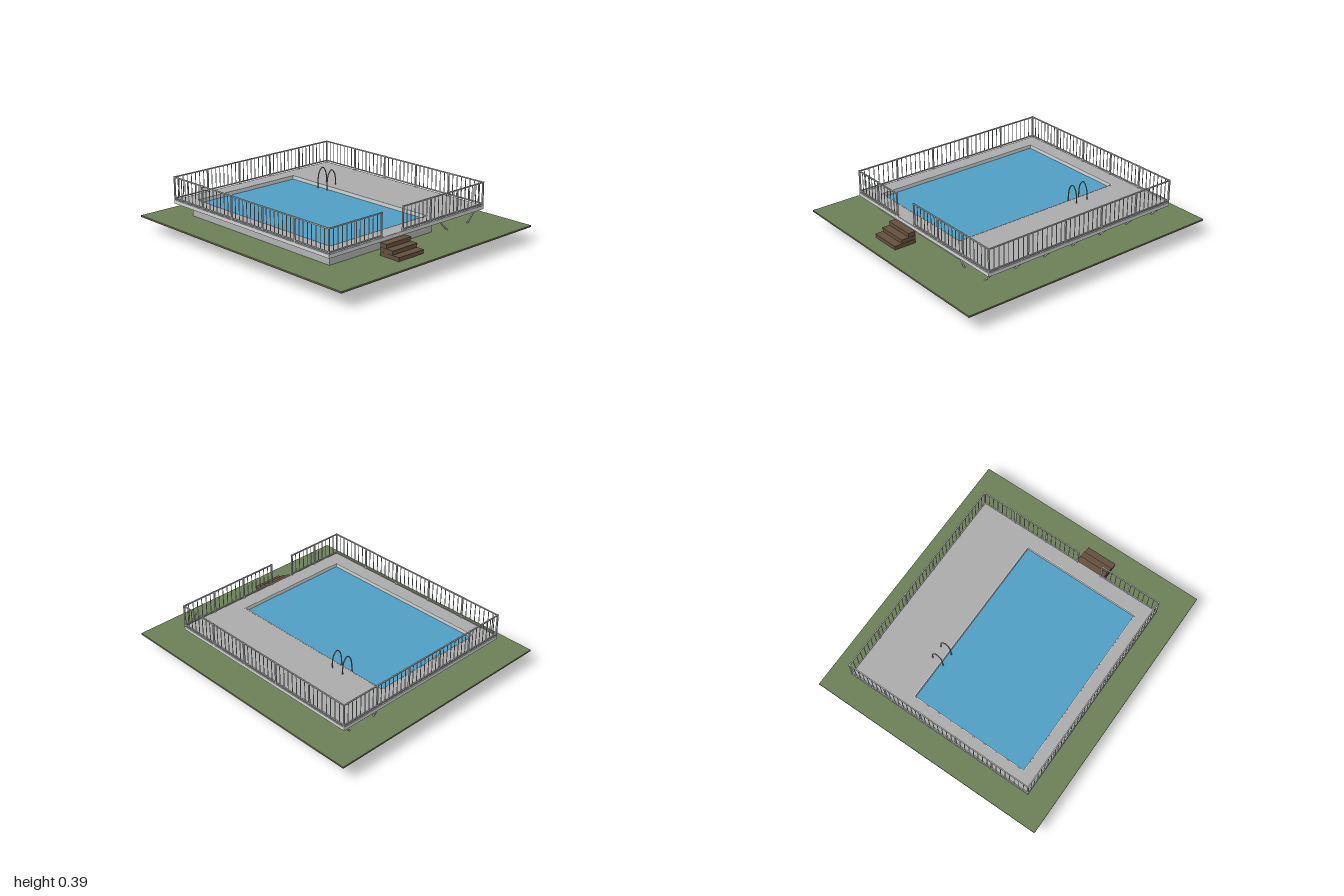
import * as THREE from 'three';

const mat = (name, color, side = THREE.FrontSide) => {
  const m = new THREE.MeshStandardMaterial({ color, side });
  m.name = name;
  return m;
};

export function createModel() {
  const turf = mat('turf', 0x6b7f56);
  const soil = mat('soil', 0x644f3d);
  const deckGrey = mat('deck grey', 0xaaabaa);
  const wallGrey = mat('wall grey', 0xb0b3b1);
  const trim = mat('light trim', 0xd2d4d4);
  const railGrey = mat('railing grey', 0xbfc1c1);
  const metal = mat('ladder metal', 0x86888a);
  const waterBlue = mat('water blue', 0x4e9ec3, THREE.DoubleSide);
  const floorBlue = mat('pool floor blue', 0x2d6ea4, THREE.DoubleSide);

  const root = new THREE.Group();
  root.name = 'raisedPool';
  const group = (name, parent = root) => {
    const g = new THREE.Group();
    g.name = name;
    parent.add(g);
    return g;
  };
  const add = (parent, name, geometry, material) => {
    const m = new THREE.Mesh(geometry, material);
    m.name = name;
    parent.add(m);
    return m;
  };
  // Box given by its limits
  const box = (parent, name, material, x0, x1, y0, y1, z0, z1) => {
    const m = add(parent, name, new THREE.BoxGeometry(x1 - x0, y1 - y0, z1 - z0), material);
    m.position.set((x0 + x1) / 2, (y0 + y1) / 2, (z0 + z1) / 2);
    return m;
  };
  // Horizontal slab with a rectangular opening; rectangles are [x0, x1, z0, z1]
  const trace = (path, [x0, x1, z0, z1]) =>
    path.moveTo(x0, z0).lineTo(x1, z0).lineTo(x1, z1).lineTo(x0, z1).lineTo(x0, z0);
  const frame = (parent, name, material, outer, inner, y0, y1) => {
    const shape = trace(new THREE.Shape(), outer);
    shape.holes.push(trace(new THREE.Path(), inner));
    const g = new THREE.ExtrudeGeometry(shape, { depth: y1 - y0, bevelEnabled: false });
    g.rotateX(Math.PI / 2).translate(0, y1, 0);
    return add(parent, name, g, material);
  };
  // Straight square bar between two points
  const bar = (parent, name, a, b, size, material) => {
    const p = new THREE.Vector3(...a), q = new THREE.Vector3(...b);
    const m = add(parent, name, new THREE.BoxGeometry(size, size, p.distanceTo(q)), material);
    m.position.copy(p).add(q).multiplyScalar(0.5);
    m.lookAt(q);
    return m;
  };
  const grow = ([x0, x1, z0, z1], d) => [x0 - d, x1 + d, z0 - d, z1 + d];

  const ground = [-0.89, 0.89, -1, 1];
  const deck = [-0.72, 0.72, -0.833, 0.718];
  const pool = [-0.613, 0.277, -0.722, 0.61];

  // Ground
  frame(root, 'groundSlab', soil, ground, pool, 0.1, 0.108);
  frame(root, 'lawn', turf, ground, pool, 0.108, 0.112);

  // Pool shell and water
  frame(root, 'poolWall', wallGrey, grow(pool, 0.022), pool, 0.11, 0.2);
  frame(root, 'poolLiner', trim, grow(pool, 0.002), grow(pool, -0.004), 0.11, 0.227);
  const sheet = (name, y, material) => {
    const g = new THREE.PlaneGeometry(pool[1] - pool[0], pool[3] - pool[2]).rotateX(-Math.PI / 2);
    add(root, name, g, material).position.set((pool[0] + pool[1]) / 2, y, (pool[2] + pool[3]) / 2);
  };
  sheet('water', 0.2, waterBlue);
  sheet('poolFloor', 0, floorBlue);

  // Deck with a lighter edge band
  frame(root, 'deck', deckGrey, deck, pool, 0.2, 0.226);
  frame(root, 'deckEdge', trim, grow(deck, 0.002), grow(deck, -0.001), 0.2, 0.224);

  // Braces under the deck
  const braces = group('braces');
  for (let i = 0; i < 5; i++) {
    const x = -0.6 + i * 0.216;
    bar(braces, 'frontBrace', [x, 0.2, 0.672], [x, 0.165, 0.632], 0.008, railGrey);
    bar(braces, 'backBrace', [x, 0.2, -0.785], [x, 0.165, -0.744], 0.008, railGrey);
  }
  for (let i = 0; i < 7; i++) {
    const z = 0.67 - i * 0.241;
    if (i > 0 && i < 6) bar(braces, 'sideBrace', [-0.68, 0.2, z], [-0.633, 0.165, z], 0.008, railGrey);
    bar(braces, 'outerStrut', [0.705, 0.2, z], [0.615, 0.112, z], 0.008, railGrey);
    bar(braces, 'innerStrut', [0.315, 0.2, z], [0.41, 0.112, z], 0.008, railGrey);
  }

  // Railings: posts, two rails and thin balusters per run
  const railings = group('railings');
  const railing = (name, a, b, spans, perSpan) => {
    const run = group(name, railings);
    const at = (t, y) => [a[0] + (b[0] - a[0]) * t, y, a[1] + (b[1] - a[1]) * t];
    const n = spans * perSpan;
    for (let i = 0; i <= n; i++) {
      if (i % perSpan === 0) {
        const [x, , z] = at(i / n, 0);
        box(run, 'post', railGrey, x - 0.005, x + 0.005, 0.215, 0.394, z - 0.005, z + 0.005);
      } else {
        const [x, , z] = at(i / n, 0);
        box(run, 'baluster', railGrey, x - 0.002, x + 0.002, 0.238, 0.388, z - 0.002, z + 0.002);
      }
    }
    bar(run, 'topRail', at(0, 0.389), at(1, 0.389), 0.008, railGrey);
    bar(run, 'bottomRail', at(0, 0.238), at(1, 0.238), 0.008, railGrey);
  };
  const [L, R, B, F] = [-0.717, 0.717, -0.829, 0.714];
  railing('backRailing', [L, B], [R, B], 5, 8);
  railing('leftRailing', [R, B], [R, F], 5, 8);
  railing('rightRailing', [L, B], [L, F], 5, 8);
  railing('frontRailingShort', [L, F], [-0.265, F], 2, 6);
  railing('frontRailingLong', [-0.07, F], [R, F], 3, 7);

  // Entry steps
  const steps = group('steps');
  for (let i = 0; i < 3; i++) {
    const y = 0.14 + i * 0.029;
    const z = 0.885 - i * 0.055;
    box(steps, 'step', soil, -0.28, -0.057, 0.11, y - 0.006, 0.72, z - 0.003);
    box(steps, 'tread', soil, -0.282, -0.055, y - 0.006, y, 0.72, z);
  }

  // Pool ladder: two hooped tubes joined by rungs
  const ladder = group('ladder');
  const hoop = [[0.27, 0.022], [0.258, 0.035], [0.254, 0.08], [0.254, 0.16], [0.256, 0.26],
    [0.268, 0.315], [0.298, 0.345], [0.326, 0.318], [0.338, 0.27], [0.338, 0.225]];
  for (const z of [-0.43, -0.335]) {
    const path = new THREE.CatmullRomCurve3(hoop.map(([x, y]) => new THREE.Vector3(x, y, z)));
    add(ladder, 'ladderTube', new THREE.TubeGeometry(path, 40, 0.004, 8), metal);
  }
  for (const y of [0.078, 0.15]) {
    box(ladder, 'rung', metal, 0.245, 0.263, y - 0.003, y + 0.003, -0.43, -0.335);
  }
  return root;
}
